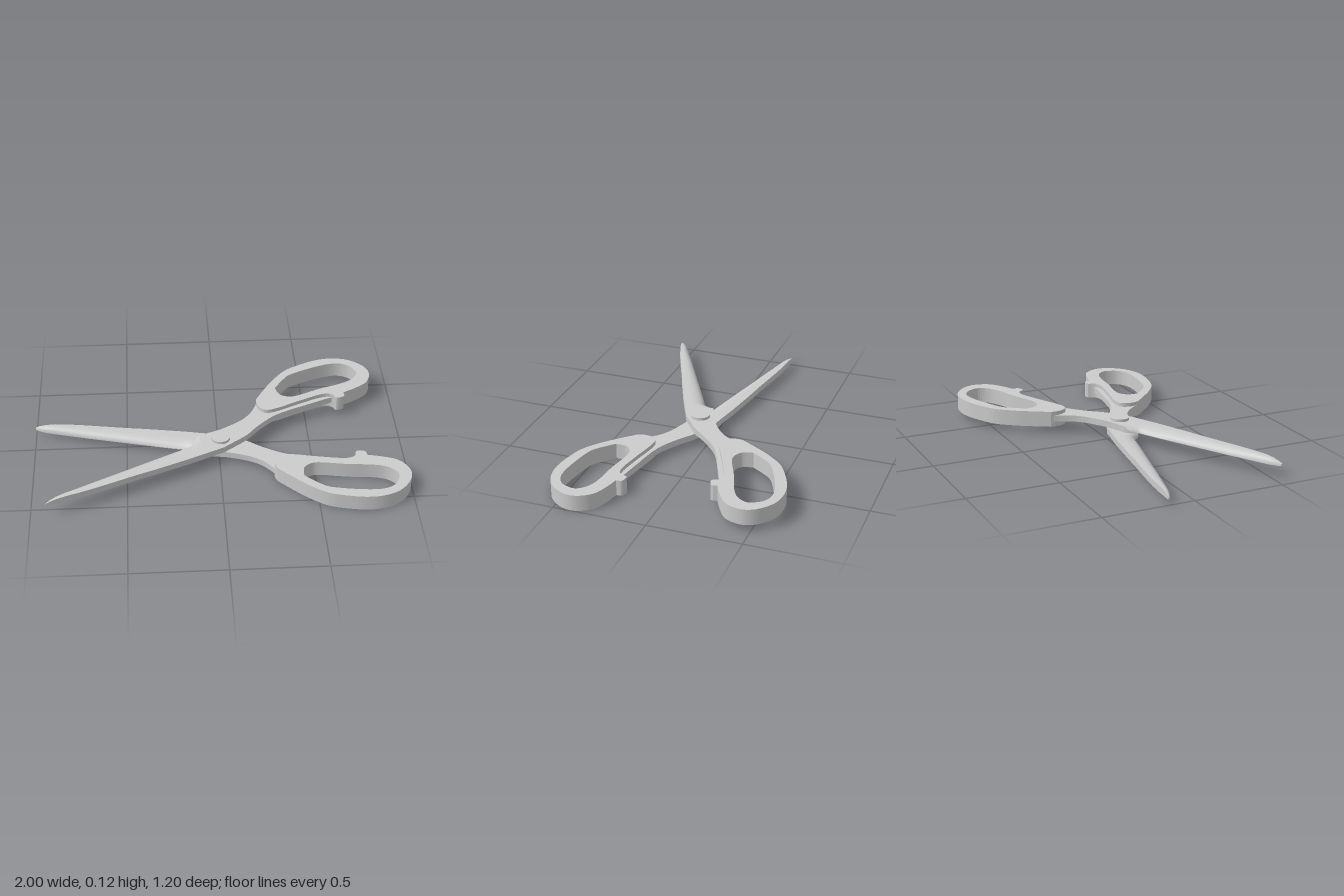
import * as THREE from 'three';
import { toCreasedNormals } from 'three/addons/utils/BufferGeometryUtils.js';

const V = (list) => list.map(([x, y]) => new THREE.Vector2(x, y));
const material = new THREE.MeshStandardMaterial({ color: 0xcccccc });
const METAL_Y = 0.03, METAL_H = 0.035;

// Plates are drawn in (along, across) and given a bottom and a height.
function plate(shape, bottom, height) {
  const g = new THREE.ExtrudeGeometry(shape, { depth: height, bevelEnabled: false, curveSegments: 48 });
  return g.rotateX(Math.PI / 2).translate(0, bottom + height, 0);
}

// Blade lofted from sections: [along, back, edge, height factor, rounding]
function bladeGeometry() {
  const stations = [
    [-0.976, -0.349, -0.343, 0.35, 1], [-0.955, -0.346, -0.325, 0.62, 1],
    [-0.92, -0.34, -0.304, 0.85, 1], [-0.87, -0.331, -0.283, 1, 1],
    [-0.783, -0.312, -0.248, 1, 1], [-0.697, -0.289, -0.213, 1, 1],
    [-0.5, -0.231, -0.137, 1, 1], [-0.384, -0.2, -0.092, 1, 1],
    [-0.25, -0.161, -0.041, 1, 1], [-0.17, -0.137, -0.013, 1, 1],
    [-0.155, -0.132, 0.008, 1, 0.95], [-0.142, -0.128, 0.026, 1, 0.75],
    [-0.128, -0.123, 0.039, 1, 0.4], [-0.11, -0.117, 0.046, 1, 0],
  ];
  const steps = 12;
  const rings = stations.map(([u, back, edge, h, round]) => {
    const ring = [[u, METAL_Y, back]];
    for (let i = 0; i <= steps; i++) {
      const t = i / steps, q = Math.max(0, (t - 0.35) / 0.65);
      const drop = 1 - Math.sqrt(Math.max(0.01, 1 - q * q));
      ring.push([u, METAL_Y + METAL_H * h * (1 - round * drop), back + (edge - back) * t]);
    }
    ring.push([u, METAL_Y, edge]);
    return ring;
  });
  const n = rings[0].length, index = [];
  for (let i = 0; i < rings.length - 1; i++) {
    for (let j = 0; j < n; j++) {
      const a = i * n + j, b = i * n + (j + 1) % n;
      index.push(a, b, a + n, b, b + n, a + n);
    }
  }
  for (let j = 1; j < n - 1; j++) index.push(0, j + 1, j); // tip cap
  const g = new THREE.BufferGeometry();
  g.setAttribute('position', new THREE.Float32BufferAttribute(rings.flat(2), 3));
  g.setIndex(index);
  return g;
}

// Flat metal around the pivot, with the neck and the tang running into the grip
function tangGeometry() {
  const s = new THREE.Shape();
  s.moveTo(-0.11, -0.117);
  s.lineTo(0.005, -0.08);
  s.lineTo(0.13, -0.007);
  s.splineThru(V([[0.16, 0.016], [0.227, 0.077], [0.326, 0.146], [0.42, 0.183], [0.507, 0.208], [0.647, 0.248], [0.69, 0.256]]));
  s.lineTo(0.69, 0.275);
  s.lineTo(0.5, 0.25);
  s.lineTo(0.36, 0.24);
  s.lineTo(0.3, 0.3);
  s.lineTo(0.255, 0.282);
  s.splineThru(V([[0.235, 0.243], [0.2, 0.192], [0.155, 0.15], [0.1, 0.117], [0.015, 0.078]]));
  s.lineTo(-0.11, 0.046);
  return plate(s, METAL_Y, METAL_H);
}

// Finger loop with its stop tab
function gripGeometry() {
  const s = new THREE.Shape();
  s.moveTo(0.749, 0.262);
  s.splineThru(V([[0.821, 0.289], [0.892, 0.326], [0.93, 0.38], [0.941, 0.445], [0.912, 0.512],
    [0.845, 0.573], [0.756, 0.6], [0.665, 0.597], [0.57, 0.571], [0.473, 0.529], [0.386, 0.452],
    [0.315, 0.367], [0.255, 0.288]]));
  s.splineThru(V([[0.249, 0.246], [0.264, 0.2], [0.297, 0.178], [0.36, 0.187], [0.479, 0.226],
    [0.608, 0.264], [0.662, 0.266], [0.688, 0.25]]));
  s.lineTo(0.694, 0.229);
  s.quadraticCurveTo(0.698, 0.217, 0.715, 0.219);
  s.lineTo(0.735, 0.224);
  s.quadraticCurveTo(0.751, 0.228, 0.75, 0.242);
  s.closePath();
  const hole = new THREE.Path();
  hole.moveTo(0.379, 0.37);
  hole.splineThru(V([[0.393, 0.308], [0.44, 0.278], [0.498, 0.282], [0.628, 0.32], [0.749, 0.346],
    [0.826, 0.377], [0.868, 0.426], [0.864, 0.473], [0.83, 0.523], [0.763, 0.547], [0.656, 0.534],
    [0.5, 0.487], [0.441, 0.442], [0.379, 0.37]]));
  s.holes.push(hole);
  return plate(s, 0, 0.087);
}

// Mirrors across the scissors' axis and restores the facing of the triangles
function mirrored(geometry) {
  const g = geometry.index ? geometry.toNonIndexed() : geometry.clone();
  const p = g.attributes.position, a = new THREE.Vector3(), b = new THREE.Vector3();
  g.scale(1, 1, -1);
  for (let i = 0; i < p.count; i += 3) {
    a.fromBufferAttribute(p, i + 1);
    b.fromBufferAttribute(p, i + 2);
    p.setXYZ(i + 1, b.x, b.y, b.z);
    p.setXYZ(i + 2, a.x, a.y, a.z);
  }
  return g;
}

function half(name, flip) {
  const group = new THREE.Group();
  group.name = name;
  const parts = { blade: bladeGeometry(), tang: tangGeometry(), grip: gripGeometry() };
  for (const [part, geometry] of Object.entries(parts)) {
    const g = toCreasedNormals(flip ? mirrored(geometry) : geometry, 0.6);
    const mesh = new THREE.Mesh(g, material);
    mesh.name = part;
    group.add(mesh);
  }
  return group;
}

export function createModel() {
  const model = new THREE.Group();
  model.name = 'scissors';

  const lower = half('lowerHalf', false);
  const upper = half('upperHalf', true);
  upper.position.y = METAL_H;

  const pivot = new THREE.Mesh(new THREE.CylinderGeometry(0.051, 0.051, 0.102, 48), material);
  pivot.name = 'pivotPin';
  pivot.position.y = 0.064;

  const assembly = new THREE.Group();
  assembly.name = 'assembly';
  assembly.add(lower, upper, pivot);
  assembly.rotation.y = 0.123;
  assembly.position.set(0.008, 0, 0.08);
  model.add(assembly);
  return model;
}
